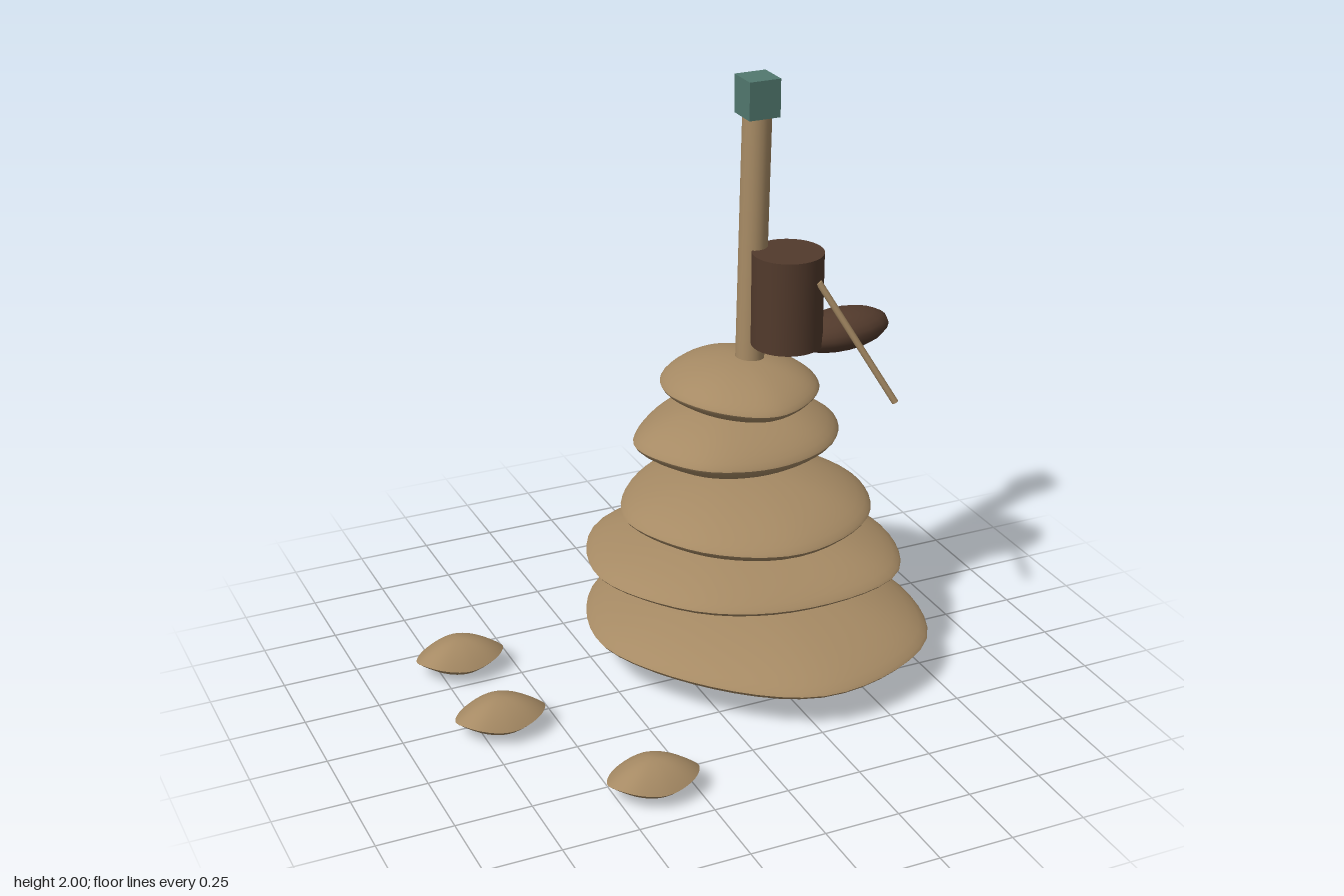
import * as THREE from 'three';

const stone = new THREE.MeshStandardMaterial({ color: 0xa68a64 });
stone.name = 'tan stone';
const bark = new THREE.MeshStandardMaterial({ color: 0x523a2c });
bark.name = 'dark brown';
const teal = new THREE.MeshStandardMaterial({ color: 0x52796f });
teal.name = 'muted teal';

const SEG = 48, RINGS = 10;

// Lens-shaped stone: two smooth domes meeting at a sharp, slightly wavy rim.
// radii are evenly spaced around the rim, from +x towards +z.
function lensGeometry(radii, rimY, topY, bottomY, power, wave) {
  const curve = new THREE.CatmullRomCurve3(radii.map((r, i) => {
    const a = (i / radii.length) * Math.PI * 2;
    return new THREE.Vector3(Math.cos(a) * r, 0, Math.sin(a) * r);
  }), true, 'centripetal');
  const rim = curve.getSpacedPoints(SEG).slice(0, SEG);
  const positions = [], indices = [];
  for (const endY of [topY, bottomY]) {
    const base = positions.length / 3;
    positions.push(0, endY, 0);
    for (let r = 1; r <= RINGS; r++) {
      const t = Math.sin((r / RINGS) * Math.PI / 2);
      const h = Math.pow(Math.max(0, 1 - t * t), power);
      for (const p of rim) {
        const ripple = wave * Math.sin(3 * Math.atan2(p.z, p.x)) * t * t;
        positions.push(p.x * t, rimY + (endY - rimY) * h + ripple, p.z * t);
      }
    }
    const at = (r, i) => base + (r === 0 ? 0 : 1 + (r - 1) * SEG + (i % SEG));
    const up = endY > rimY;
    const face = (a, b, c) => (up ? indices.push(a, b, c) : indices.push(a, c, b));
    for (let r = 0; r < RINGS; r++) {
      for (let i = 0; i < SEG; i++) {
        if (r > 0) face(at(r, i), at(r, i + 1), at(r + 1, i + 1));
        face(at(r, i), at(r + 1, i + 1), at(r + 1, i));
      }
    }
  }
  const geometry = new THREE.BufferGeometry();
  geometry.setAttribute('position', new THREE.Float32BufferAttribute(positions, 3));
  geometry.setIndex(indices);
  geometry.computeVertexNormals();
  return geometry;
}

function add(group, name, geometry, material, x = 0, y = 0, z = 0) {
  const mesh = new THREE.Mesh(geometry, material);
  mesh.name = name;
  mesh.position.set(x, y, z);
  group.add(mesh);
  return mesh;
}

// Round bar between two points
function addBar(group, name, from, to, radius, sides, material) {
  const a = new THREE.Vector3(...from), b = new THREE.Vector3(...to);
  const dir = b.clone().sub(a);
  const mesh = add(group, name, new THREE.CylinderGeometry(radius, radius, dir.length(), sides), material);
  mesh.position.copy(a).add(b).multiplyScalar(0.5);
  mesh.quaternion.setFromUnitVectors(new THREE.Vector3(0, 1, 0), dir.normalize());
}

export function createModel() {
  const model = new THREE.Group();
  model.name = 'stoneTower';

  // Stacked flat stones, from the ground up
  const stack = new THREE.Group();
  stack.name = 'stoneStack';
  model.add(stack);
  const addStone = (name, x, z, rimY, topY, bottomY, radii) =>
    add(stack, name, lensGeometry(radii, rimY, topY, bottomY, 0.72, 0.006), stone, x, 0, z);
  addStone('baseStone', 0.28, -0.1, 0.14, 0.27, 0.015, [0.545, 0.62, 0.595, 0.52, 0.55, 0.575, 0.585, 0.52]);
  addStone('secondStone', 0.265, -0.15, 0.36, 0.475, 0.255, [0.51, 0.55, 0.455, 0.47, 0.515, 0.53, 0.465, 0.475]);
  addStone('thirdStone', 0.25, -0.11, 0.57, 0.685, 0.455, [0.42, 0.435, 0.425, 0.415, 0.418, 0.4, 0.425, 0.42]);
  addStone('fourthStone', 0.26, -0.19, 0.79, 0.905, 0.675, [0.355, 0.34, 0.315, 0.35, 0.36, 0.31, 0.32, 0.35]);
  addStone('topStone', 0.255, -0.14, 0.98, 1.07, 0.89, [0.25, 0.265, 0.282, 0.26, 0.255, 0.275, 0.288, 0.275]);

  // Loose pebbles on the ground
  const pebble = lensGeometry(new Array(8).fill(0.15), 0.065, 0.128, 0.005, 1, 0.008);
  [[-0.68, -0.355], [-0.685, 0.05], [-0.38, 0.58]].forEach(([x, z], i) => {
    add(model, `pebble${i + 1}`, pebble, stone, x, 0, z).scale.z = 0.74;
  });

  // Leaning pole with a block on top
  addBar(model, 'pole', [0.287, 1.0, -0.143], [0.317, 1.9, -0.168], 0.048, 20, stone);
  add(model, 'poleCap', new THREE.BoxGeometry(0.108, 0.125, 0.11), teal, 0.318, 1.9375, -0.17);

  // Small figure: round body, flat tail and a stick
  const figure = new THREE.Group();
  figure.name = 'figure';
  model.add(figure);
  add(figure, 'body', new THREE.CylinderGeometry(0.117, 0.117, 0.315, 32), bark, 0.38, 1.2875, -0.06);
  const tail = add(figure, 'tail', new THREE.SphereGeometry(1, 16, 12), bark, 0.575, 1.144, -0.062);
  tail.scale.set(0.175, 0.066, 0.102);
  tail.rotation.z = 0.06;
  addBar(figure, 'stick', [0.44, 1.365, 0.04], [0.655, 0.965, 0.18], 0.011, 10, stone);

  return model;
}
